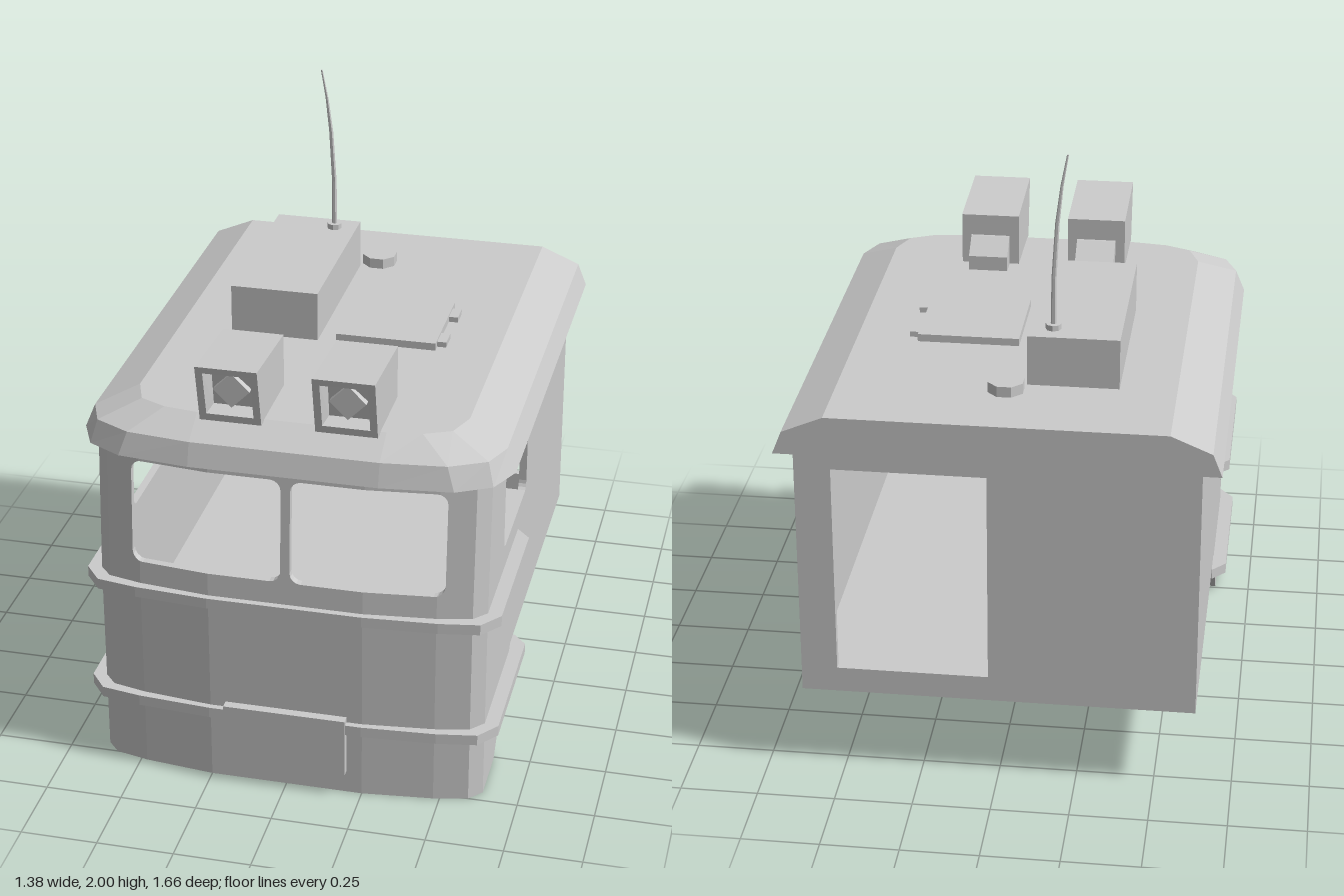
import * as THREE from 'three';

const material = new THREE.MeshStandardMaterial({ color: 0xcccccc, flatShading: true, side: THREE.DoubleSide });
const SILL = 0.65, TOP = 1.14, THICK = 0.025;

// Front outline of the body, half plan as [x, z]
const nose = [[0, 0.8], [0.25, 0.8], [0.48, 0.775], [0.59, 0.75], [0.63, 0.705]];
const bends = [...nose.slice(1).map(([x]) => -x).reverse(), ...nose.map(([x]) => x)];
// Above the sill the front leans back
const lean = (y) => Math.max(0, y - SILL) * 0.06;

function noseZ(x) {
  const ax = Math.min(Math.abs(x), 0.63);
  const i = Math.max(1, nose.findIndex(([px]) => px >= ax - 1e-9));
  const [x0, z0] = nose[i - 1], [x1, z1] = nose[i];
  return z0 + (z1 - z0) * (ax - x0) / (x1 - x0);
}

function fromQuads(quads) {
  const pos = [];
  for (const [a, b, c, d] of quads) pos.push(...a, ...b, ...c, ...a, ...c, ...d);
  const g = new THREE.BufferGeometry();
  g.setAttribute('position', new THREE.Float32BufferAttribute(pos, 3));
  g.computeVertexNormals();
  return g;
}

// Skin through equal loops of points, with both ends closed by convex caps
function loft(loops) {
  const quads = [], n = loops[0].length, last = loops[loops.length - 1];
  for (let i = 0; i < loops.length - 1; i++)
    for (let j = 0; j < n; j++) {
      const k = (j + 1) % n;
      quads.push([loops[i][j], loops[i][k], loops[i + 1][k], loops[i + 1][j]]);
    }
  for (let j = 1; j < n - 1; j++) {
    quads.push([loops[0][0], loops[0][j + 1], loops[0][j], loops[0][0]]);
    quads.push([last[0], last[j], last[j + 1], last[0]]);
  }
  return fromQuads(quads);
}

// Thick wall in columns along u; openings are [u0, u1, y0, y1, cornerRadius]
function wall(place, stops, bottom, openings) {
  const quads = [], cols = [...stops];
  for (const [u0, u1, y0, y1, r] of openings) {
    for (let k = 0; k <= 4; k++) {
      const s = r * (1 - Math.cos(k * Math.PI / 8));
      cols.push(u0 + s, u1 - s);
    }
    for (const u of [u0, u1])
      quads.push([place(u, y0 + r, 0), place(u, y0 + r, THICK), place(u, y1 - r, THICK), place(u, y1 - r, 0)]);
  }
  cols.sort((a, b) => a - b);
  const inset = (o, u) => {
    const d = Math.max(0, o[4] - Math.min(u - o[0], o[1] - u));
    return o[4] - Math.sqrt(Math.max(0, o[4] ** 2 - d * d));
  };
  const slab = (a, b, a0, b0, a1, b1) => {
    if (Math.max(a0, b0) < SILL && Math.min(a1, b1) > SILL) {
      slab(a, b, a0, b0, SILL, SILL);
      slab(a, b, SILL, SILL, a1, b1);
      return;
    }
    const ring = (d) => [place(a, a0, d), place(b, b0, d), place(b, b1, d), place(a, a1, d)];
    const o = ring(0), i = ring(THICK);
    quads.push(o, [...i].reverse(), [o[0], i[0], i[1], o[1]], [o[3], o[2], i[2], i[3]]);
  };
  for (let i = 0; i < cols.length - 1; i++) {
    const a = cols[i], b = cols[i + 1];
    if (b - a < 1e-6) continue;
    const o = openings.find((p) => (a + b) / 2 > p[0] && (a + b) / 2 < p[1]);
    if (o) {
      const ia = inset(o, a), ib = inset(o, b);
      slab(a, b, bottom(a), bottom(b), o[2] + ia, o[2] + ib);
      slab(a, b, o[3] - ia, o[3] - ib, TOP, TOP);
    } else slab(a, b, bottom(a), bottom(b), TOP, TOP);
  }
  return fromQuads(quads);
}

const mirrored = (half) => [...half.map(([x, z]) => [-x, z]), ...[...half].reverse()];

export function createModel() {
  const model = new THREE.Group();
  const add = (name, geometry, x = 0, y = 0, z = 0, parent = model) => {
    const mesh = new THREE.Mesh(geometry, material);
    mesh.name = name;
    mesh.position.set(x, y, z);
    parent.add(mesh);
    return mesh;
  };
  // Box given by its limits on each axis
  const box = (name, x0, x1, y0, y1, z0, z1) =>
    add(name, new THREE.BoxGeometry(x1 - x0, y1 - y0, z1 - z0), (x0 + x1) / 2, (y0 + y1) / 2, (z0 + z1) / 2);
  // Side profile of [z, y] points spread over a width in x
  const profile = (points, x0, x1) => loft([x0, x1].map((x) => points.map(([z, y]) => [x, y, z])));

  // Walls
  add('frontWall', wall((x, y, d) => [x, y, noseZ(x) - lean(y) - d], bends, () => 0,
    [[-0.505, -0.015, 0.75, 1.1, 0.035], [0.015, 0.505, 0.75, 1.1, 0.035]]));
  add('backWall', wall((x, y, d) => [x, y, -0.81 + d], [-0.63, 0.63], () => 0.285,
    [[0.03, 0.515, 0.37, 1.08, 0]]));
  const underside = (z) => 0.285 * THREE.MathUtils.clamp((0.51 - z) / 0.27, 0, 1);
  for (const [s, name] of [[1, 'leftWall'], [-1, 'rightWall']])
    add(name, wall((z, y, d) => [s * (0.63 - d), y, z > 0.6 ? z - lean(y) : z],
      [-0.81, 0.24, 0.51, 0.705], underside, [[0.01, 0.43, 0.75, 1.03, 0.03]]));

  // Floor and the raked underside of the nose
  box('floor', -0.625, 0.625, 0.285, 0.305, -0.805, 0.7);
  const belly = [[[-0.63, 0, 0.51], [-0.63, 0.285, 0.24], [0.63, 0.285, 0.24], [0.63, 0, 0.51]]];
  for (let i = 0; i < bends.length - 1; i++) {
    const a = bends[i], b = bends[i + 1];
    belly.push([[a, 0, 0.51], [b, 0, 0.51], [b, 0, noseZ(b)], [a, 0, noseZ(a)]]);
  }
  add('noseUnderside', fromQuads(belly));

  // Roof with bevelled eaves
  const roofLevels = [
    [1.135, [[0.69, -0.83], [0.69, 0.62], [0.64, 0.73], [0.53, 0.79], [0.3, 0.815]]],
    [1.21, [[0.66, -0.83], [0.66, 0.61], [0.62, 0.71], [0.505, 0.77], [0.3, 0.793]]],
    [1.265, [[0.53, -0.83], [0.53, 0.545], [0.495, 0.64], [0.41, 0.68], [0.3, 0.695]]],
  ];
  add('roof', loft(roofLevels.map(([y, half]) => mirrored(half).map(([x, z]) => [x, y, z]))));

  // Handrail bands wrapped around the front
  const outer = mirrored([[0.63, 0.155], [0.675, 0.205], [0.675, 0.71], [0.62, 0.78], [0.49, 0.802], [0.25, 0.82]]);
  const inner = mirrored([[0.625, 0.155], ...nose.slice(1).reverse().map(([x, z]) => [x, z - 0.008])]).reverse();
  const bandShape = new THREE.Shape([...outer, ...inner].map(([x, z]) => new THREE.Vector2(x, -z)));
  for (const [name, y] of [['lowerBand', 0.23], ['upperBand', 0.638]]) {
    const g = new THREE.ExtrudeGeometry(bandShape, { depth: 0.036, bevelEnabled: false });
    add(name, g.rotateX(-Math.PI / 2), 0, y, 0);
  }
  box('frontPlate', -0.2, 0.2, 0.08, 0.285, 0.78, 0.83);

  // Roof lamps: sloping hooded housing, recessed face and rear box
  for (const [s, side] of [[1, 'left'], [-1, 'right']]) {
    const lamp = new THREE.Group();
    lamp.name = side + 'RoofLamp';
    lamp.position.x = s * 0.183;
    model.add(lamp);
    const frame = (w, y0, y1, z0, z1) => [[-w, y0, z0], [w, y0, z0], [w, y1, z1], [-w, y1, z1]];
    add('hood', loft([
      frame(0.098, 1.26, 1.44, 0.45, 0.45), frame(0.098, 1.26, 1.46, 0.73, 0.775),
      frame(0.075, 1.285, 1.438, 0.735, 0.77), frame(0.066, 1.295, 1.428, 0.68, 0.7),
    ]), 0, 0, 0, lamp);
    const lens = new THREE.CylinderGeometry(0.058, 0.058, 0.03, 4).rotateX(Math.PI / 2);
    add('lens', lens, 0, 1.361, 0.7, lamp);
    add('rearBox', profile([[0.46, 1.26], [0.46, 1.372], [0.445, 1.365], [0.38, 1.315], [0.38, 1.26]], -0.066, 0.066), 0, 0, 0, lamp);
  }

  // Roof equipment
  box('equipmentBox', -0.35, -0.06, 1.26, 1.43, -0.52, 0.105);
  box('hatch', 0, 0.33, 1.26, 1.29, -0.235, 0.095);
  for (const z of [-0.168, 0.03]) box('hatchHinge', 0.32, 0.36, 1.26, 1.283, z - 0.034, z + 0.034);
  add('vent', new THREE.CylinderGeometry(0.06, 0.06, 0.04, 8, 1).rotateY(Math.PI / 8), 0, 1.28, -0.565);

  // Whip aerial
  add('aerialBase', new THREE.CylinderGeometry(0.025, 0.025, 0.02, 8), -0.135, 1.438, -0.45);
  const whip = [[-0.135, 1.44, -0.45, 0.009], [-0.136, 1.6, -0.452, 0.008], [-0.145, 1.78, -0.446, 0.007],
    [-0.158, 1.9, -0.441, 0.005], [-0.175, 2, -0.437, 0.003]];
  add('aerial', loft(whip.map(([x, y, z, r]) => Array.from({ length: 6 }, (_, i) => {
    const a = i * Math.PI / 3;
    return [x + r * Math.cos(a), y, z - r * Math.sin(a)];
  }))));
  return model;
}
